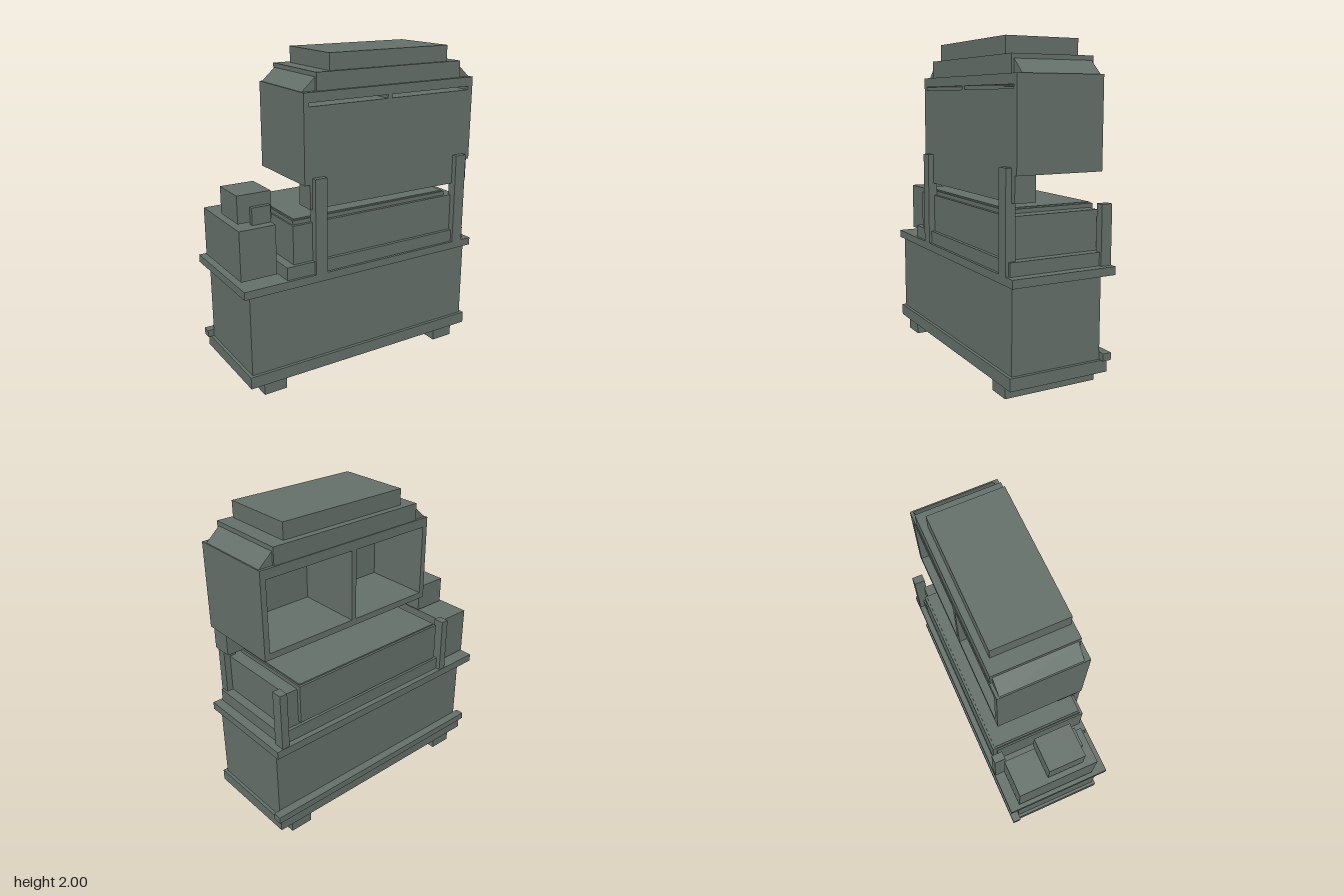
import * as THREE from 'three';

const steel = new THREE.MeshStandardMaterial({ color: 0x65706a });
steel.name = 'grey green steel';

export function createModel() {
  const model = new THREE.Group();
  model.name = 'cabinetMachine';

  const add = (name, geometry) => {
    const mesh = new THREE.Mesh(geometry, steel);
    mesh.name = name;
    model.add(mesh);
    return mesh;
  };

  // Box given by its limits on each axis
  const box = (name, [x0, x1], [y0, y1], [z0, z1]) =>
    add(name, new THREE.BoxGeometry(x1 - x0, y1 - y0, z1 - z0))
      .position.set((x0 + x1) / 2, (y0 + y1) / 2, (z0 + z1) / 2);

  const outline = (points, Type = THREE.Shape) =>
    new Type(points.map(([x, y]) => new THREE.Vector2(x, y)));
  const rect = (x0, x1, y0, y1) => [[x0, y0], [x1, y0], [x1, y1], [x0, y1]];

  // Outline in x and y pushed along z
  const slab = (name, shape, z0, z1) =>
    add(name, new THREE.ExtrudeGeometry(shape, { depth: z1 - z0, bevelEnabled: false }))
      .position.z = z0;

  // Base: feet, plinth, cabinet and worktop
  box('rightFoot', [-0.725, -0.575], [0, 0.08], [-0.285, 0.32]);
  box('leftFoot', [0.57, 0.72], [0, 0.08], [-0.285, 0.32]);
  box('plinth', [-0.82, 0.815], [0.08, 0.155], [-0.305, 0.34]);
  box('rearRail', [-0.84, 0.835], [0.155, 0.2], [-0.32, -0.265]);
  box('cabinet', [-0.8, 0.795], [0.155, 0.66], [-0.265, 0.32]);
  box('worktop', [-0.84, 0.835], [0.66, 0.71], [-0.34, 0.34]);

  // Low housing on the worktop
  box('tray', [-0.555, 0.777], [0.71, 0.79], [-0.305, 0.323]);
  box('housing', [-0.5, 0.72], [0.79, 1.03], [-0.285, 0.3]);
  box('housingBackPanel', [-0.49, 0.638], [0.81, 1.03], [-0.31, -0.285]);
  box('lid', [-0.49, 0.638], [1.03, 1.055], [-0.31, 0.28]);
  box('lidTop', [-0.48, 0.628], [1.055, 1.063], [-0.295, 0.27]);

  // Posts
  for (const x of [-0.37, 0.68]) box('frontPost', [x, x + 0.08], [0.71, 1.3], [0.28, 0.34]);
  for (const x of [-0.575, 0.745]) box('rearPost', [x, x + 0.05], [0.71, 1.07], [-0.335, -0.265]);

  // Side unit
  box('sideBox', [-0.815, -0.583], [0.73, 1.04], [-0.275, 0.245]);
  box('sideBoxHead', [-0.783, -0.567], [1.053, 1.223], [-0.075, 0.16]);
  box('sideBoxBracket', [-0.705, -0.585], [1.04, 1.145], [0.16, 0.188]);

  // Upper hood: two compartments open at the back, a narrow slot through the front of each
  const bays = [[-0.385, 0.155], [0.187, 0.78]];
  const hoodShape = (bottom) => {
    const shape = outline(rect(-0.42, 0.815, 1.26, 1.795));
    for (const [x0, x1] of bays) {
      shape.holes.push(outline(rect(x0, x1, bottom, 1.737), THREE.Path));
    }
    return shape;
  };
  slab('hoodShell', hoodShape(1.3), -0.245, 0.175);
  slab('hoodFront', hoodShape(1.715), 0.175, 0.305);
  box('hoodApron', [-0.385, 0.795], [1.11, 1.26], [0.175, 0.305]);

  // Stepped cap with sloping shoulders
  box('cap', [-0.325, 0.72], [1.795, 1.9], [-0.24, 0.285]);
  box('capTop', [-0.23, 0.625], [1.9, 2], [-0.2, 0.268]);
  slab('rightShoulder', outline([[-0.412, 1.795], [-0.325, 1.795], [-0.325, 1.873]]), -0.227, 0.27);
  slab('leftShoulder', outline([[0.72, 1.795], [0.807, 1.795], [0.72, 1.873]]), -0.227, 0.27);

  return model;
}
